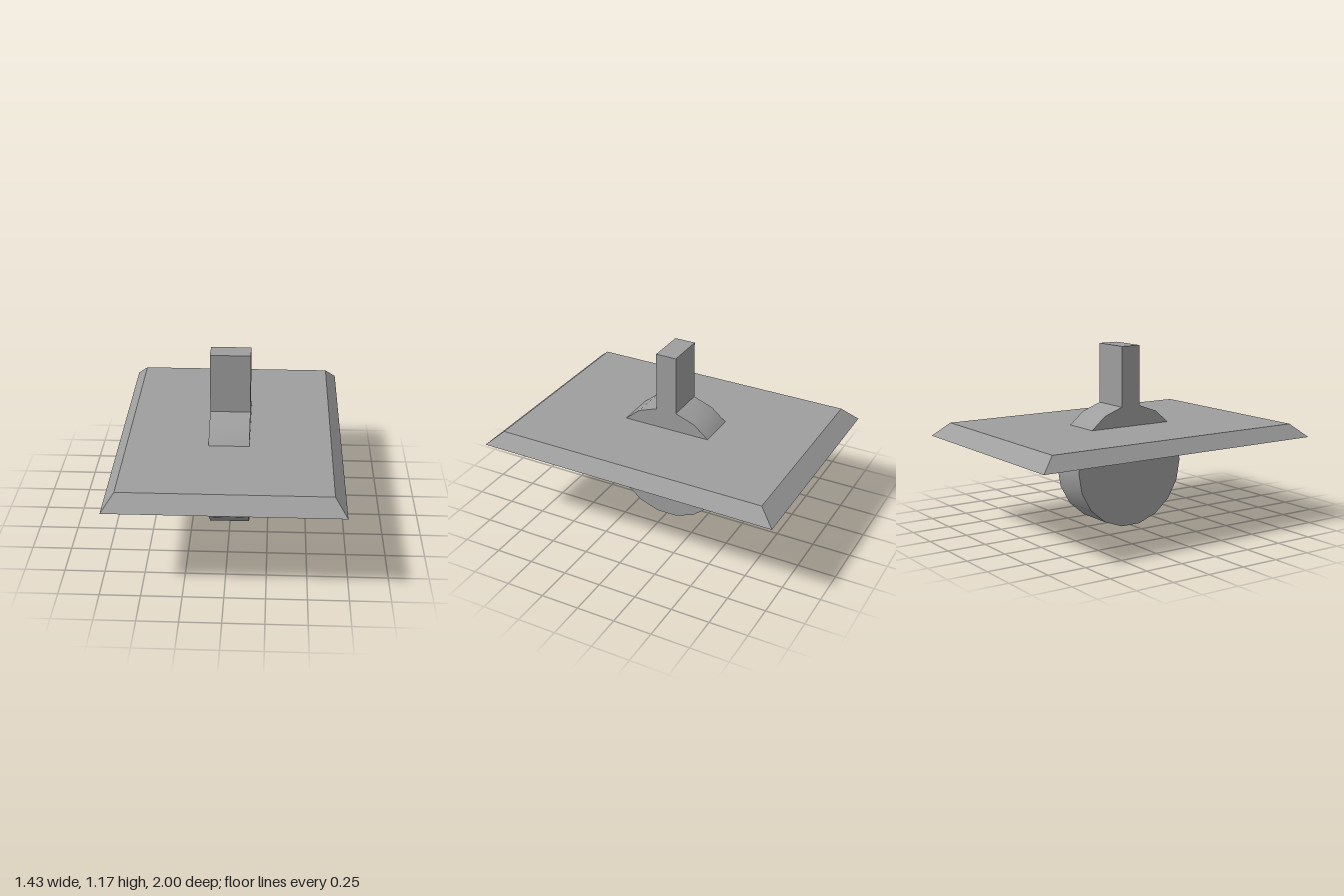
import * as THREE from 'three';
import { toCreasedNormals } from 'three/addons/utils/BufferGeometryUtils.js';

export function createModel() {
  const model = new THREE.Group();
  model.name = 'toggleSwitch';
  const material = new THREE.MeshStandardMaterial({ color: 0x9e9e9e });

  // Cover plate: a box whose top face is drawn in to bevel the edges
  const bottom = 0.568, top = 0.655;
  const plateGeo = new THREE.BoxGeometry(1.434, top - bottom, 2);
  const p = plateGeo.attributes.position;
  for (let i = 0; i < p.count; i++) {
    if (p.getY(i) > 0) {
      p.setX(i, Math.sign(p.getX(i)) * 0.643);
      p.setZ(i, Math.sign(p.getZ(i)) * 0.9);
    }
  }
  plateGeo.computeVertexNormals();
  const plate = new THREE.Mesh(plateGeo, material);
  plate.name = 'coverPlate';
  plate.position.y = (bottom + top) / 2;
  model.add(plate);

  // Pivot disc of 18 sides, its top side drawn up into the lever
  const radius = 0.398, sides = 18, width = 0.257, leverTop = 1.173;
  const step = (2 * Math.PI) / sides;
  const centreY = radius * Math.cos(step / 2);
  const points = [];
  for (let i = 0; i < sides; i++) {
    const a = Math.PI / 2 + step * (i + 0.5);
    points.push(new THREE.Vector2(radius * Math.cos(a), centreY + radius * Math.sin(a)));
  }
  const half = radius * Math.sin(step / 2);
  points.push(new THREE.Vector2(half, leverTop), new THREE.Vector2(-half, leverTop));

  const leverGeo = new THREE.ExtrudeGeometry(new THREE.Shape(points), { depth: width, bevelEnabled: false });
  leverGeo.translate(0, 0, -width / 2);
  leverGeo.rotateY(Math.PI / 2);
  const lever = new THREE.Mesh(toCreasedNormals(leverGeo, 0.6), material);
  lever.name = 'pivotAndLever';
  model.add(lever);

  return model;
}
